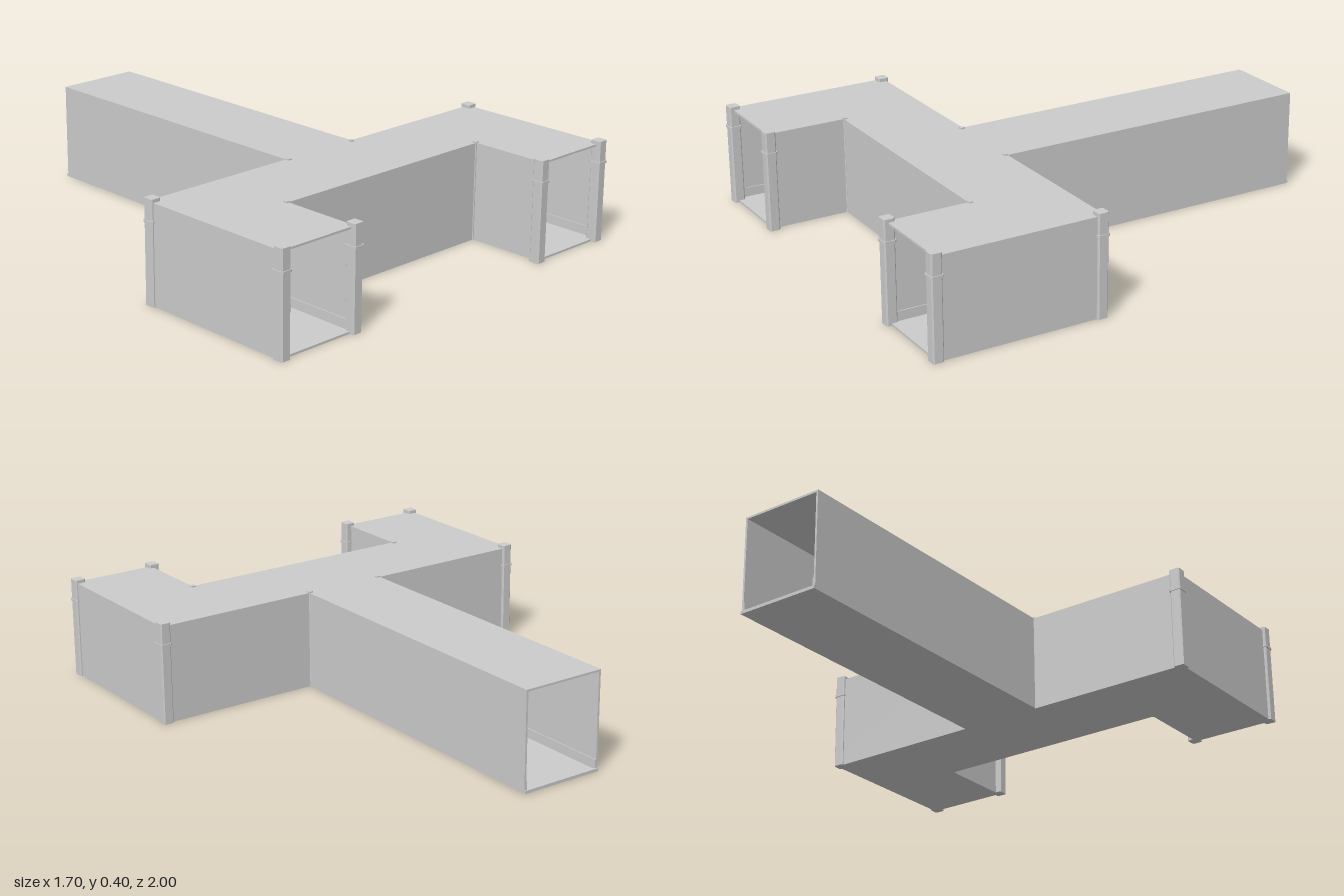
import * as THREE from 'three';

export function createModel() {
  const model = new THREE.Group();
  const material = new THREE.MeshStandardMaterial({ color: 0xcccccc, flatShading: true });
  const roofY = 0.387, t = 0.008;

  const add = (name, geometry, x = 0, y = 0, z = 0) => {
    const mesh = new THREE.Mesh(geometry, material);
    mesh.name = name;
    mesh.position.set(x, y, z);
    model.add(mesh);
  };
  const box = (name, x0, x1, y0, y1, z0, z1) => add(name,
    new THREE.BoxGeometry(Math.abs(x1 - x0), y1 - y0, z1 - z0),
    (x0 + x1) / 2, (y0 + y1) / 2, (z0 + z1) / 2);

  // Upright prism extruded from a plan drawn in (x, z)
  const slab = (points, height) => {
    const shape = new THREE.Shape(points.map(([x, z]) => new THREE.Vector2(x, -z)));
    return new THREE.ExtrudeGeometry(shape, { depth: height, bevelEnabled: false }).rotateX(-Math.PI / 2);
  };

  // Forked plan: long rear passage, cross passage and two front arms
  const half = [[0.17, -0.995], [0.17, 0.31], [0.835, 0.31], [0.835, 0.975], [0.49, 0.975], [0.49, 0.655]];
  const plan = [...half, ...half.map(([x, z]) => [-x, z]).reverse()];
  add('floor', slab(plan, t));
  add('ceiling', slab(plan, t), 0, roofY - t, 0);

  // Walls, each with a low skirting on its inner face
  const wallX = (side, x, inward, z0, z1) => {
    box('sideWall', side * x, side * (x + inward * t), t, roofY - t, z0, z1);
    box('skirting', side * (x + inward * t), side * (x + inward * (t + 0.004)), t, 0.045, z0, z1);
  };
  const wallZ = (x0, x1, z, inward) => {
    const a = z + inward * t, b = a + inward * 0.004;
    box('crossWall', x0, x1, t, roofY - t, Math.min(z, a), Math.max(z, a));
    box('skirting', x0, x1, t, 0.045, Math.min(a, b), Math.max(a, b));
  };
  for (const s of [-1, 1]) {
    wallX(s, 0.17, -1, -0.995, 0.31);
    wallX(s, 0.835, -1, 0.31, 0.975);
    wallX(s, 0.49, 1, 0.655, 0.975);
    wallZ(s * 0.17, s * 0.835, 0.31, 1);
  }
  wallZ(-0.49, 0.49, 0.655, -1);
  box('rearSill', -0.17, 0.17, 0, 0.012, -1, -0.99);

  // Chamfered square plan for posts and collars
  const octagon = (r, c) => [
    [-r + c, -r], [r - c, -r], [r, -r + c], [r, r - c],
    [r - c, r], [-r + c, r], [-r, r - c], [-r, -r + c],
  ];
  const post = slab(octagon(0.0215, 0.005), 0.4);
  const collar = slab(octagon(0.025, 0.006), 0.01);
  const innerPost = slab(octagon(0.009, 0.002), 0.392);
  for (const s of [-1, 1]) {
    // Outer corner posts with collars
    for (const [x, z] of [[0.823, 0.322], [0.823, 0.972], [0.487, 0.972]]) {
      add('cornerPost', post, s * x, 0, z);
      add('postCollar', collar, s * x, 0.31, z);
    }
    // Slim posts at the re-entrant corners
    for (const [x, z] of [[0.163, 0.317], [0.493, 0.649]]) add('innerCornerPost', innerPost, s * x, 0, z);
  }
  return model;
}
